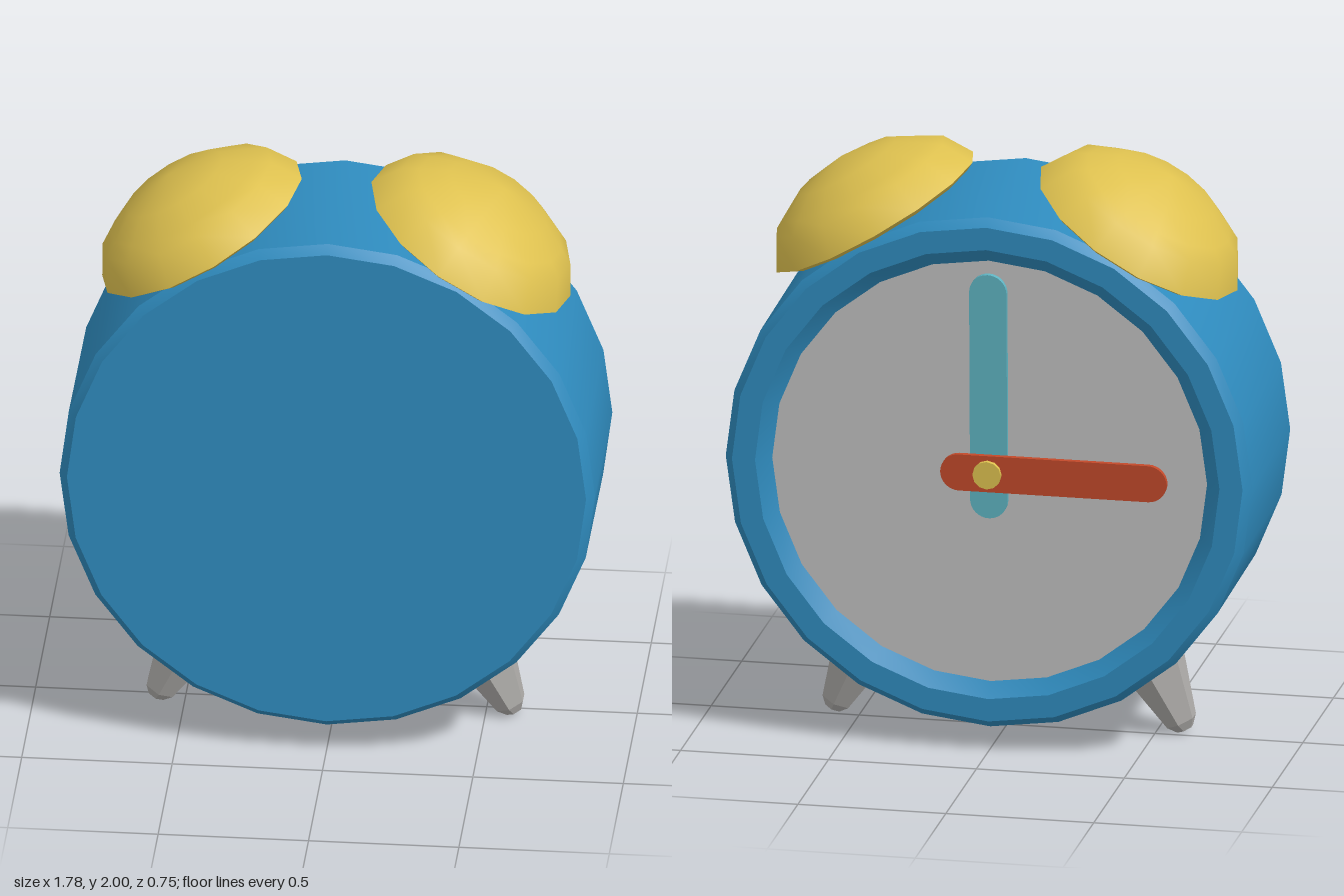
import * as THREE from 'three';
import { toCreasedNormals } from 'three/addons/utils/BufferGeometryUtils.js';

const paint = (name, color) => {
  const m = new THREE.MeshStandardMaterial({ color });
  m.name = name;
  return m;
};

// Revolve a profile of [radius, height] pairs; edges sharper than crease stay hard
function turned(profile, sides, crease) {
  const pts = profile.map(([r, y]) => new THREE.Vector2(r, y));
  return toCreasedNormals(new THREE.LatheGeometry(pts, sides), crease);
}

// Round-ended strip along y, pivoting on the origin
function handGeometry(tail, reach, r, depth) {
  const s = new THREE.Shape();
  s.absarc(0, reach - r, r, 0, Math.PI);
  s.absarc(0, r - tail, r, Math.PI, 2 * Math.PI);
  s.closePath();
  return new THREE.ExtrudeGeometry(s, { depth, bevelEnabled: false, curveSegments: 8 });
}

export function createModel() {
  const blue = paint('blue case', 0x2f8cbf);
  const gold = paint('gold', 0xdec14f);
  const dialGrey = paint('dial grey', 0xc0c0c0);
  const footGrey = paint('foot grey', 0xb0aeab);
  const teal = paint('teal hand', 0x5fb4c2);
  const red = paint('red hand', 0xc2492a);

  const model = new THREE.Group();
  model.name = 'alarmClock';

  // Everything leans slightly about the middle of the case
  const clock = new THREE.Group();
  clock.name = 'clock';
  clock.position.set(0, 0.975, 0.017);
  clock.rotation.x = -0.0214;
  model.add(clock);

  const add = (name, geometry, material, x = 0, y = 0, z = 0, rotZ = 0) => {
    const mesh = new THREE.Mesh(geometry, material);
    mesh.name = name;
    mesh.position.set(x, y, z);
    mesh.rotation.z = rotZ;
    clock.add(mesh);
  };

  // Drum case with bevelled edges and a recess for the dial at the back
  const caseGeo = turned([
    [0.735, -0.3], [0.785, -0.34], [0.863, -0.34], [0.89, -0.31],
    [0.89, 0.31], [0.863, 0.34], [0, 0.34],
  ], 24, 0.6);
  caseGeo.rotateX(Math.PI / 2);
  add('case', caseGeo, blue);

  // Dial, hands and hub facing -z
  add('dial', new THREE.CircleGeometry(0.735, 24).rotateY(Math.PI), dialGrey, 0, 0, -0.3);
  add('minuteHand', handGeometry(0.16, 0.69, 0.063, 0.018), teal, 0, 0, -0.318);
  add('hourHand', handGeometry(0.16, 0.605, 0.063, 0.018), red, 0, 0, -0.336, Math.PI / 2);
  const hubGeo = toCreasedNormals(new THREE.CylinderGeometry(0.048, 0.048, 0.05, 12), 0.6);
  add('hub', hubGeo.rotateX(Math.PI / 2), gold, 0, 0, -0.327);

  // Bells and feet, mirrored left and right
  const bellGeo = turned([
    [0, -0.015], [0.355, -0.015], [0.384, 0], [0.325, 0.1],
    [0.275, 0.13], [0.185, 0.182], [0, 0.22],
  ], 14, 0.7).rotateY(Math.PI / 2);
  const footGeo = turned([
    [0, 0], [0.03, 0], [0.055, 0.03], [0.125, 0.3], [0.14, 0.36], [0, 0.36],
  ], 6, 0.2);
  for (const [side, s] of [['left', 1], ['right', -1]]) {
    add(side + 'Bell', bellGeo, gold, s * 0.447, 0.776, 0, -s * 0.53);
    add(side + 'Foot', footGeo, footGrey, s * 0.595, -0.963, 0, s * 0.436);
  }

  return model;
}
